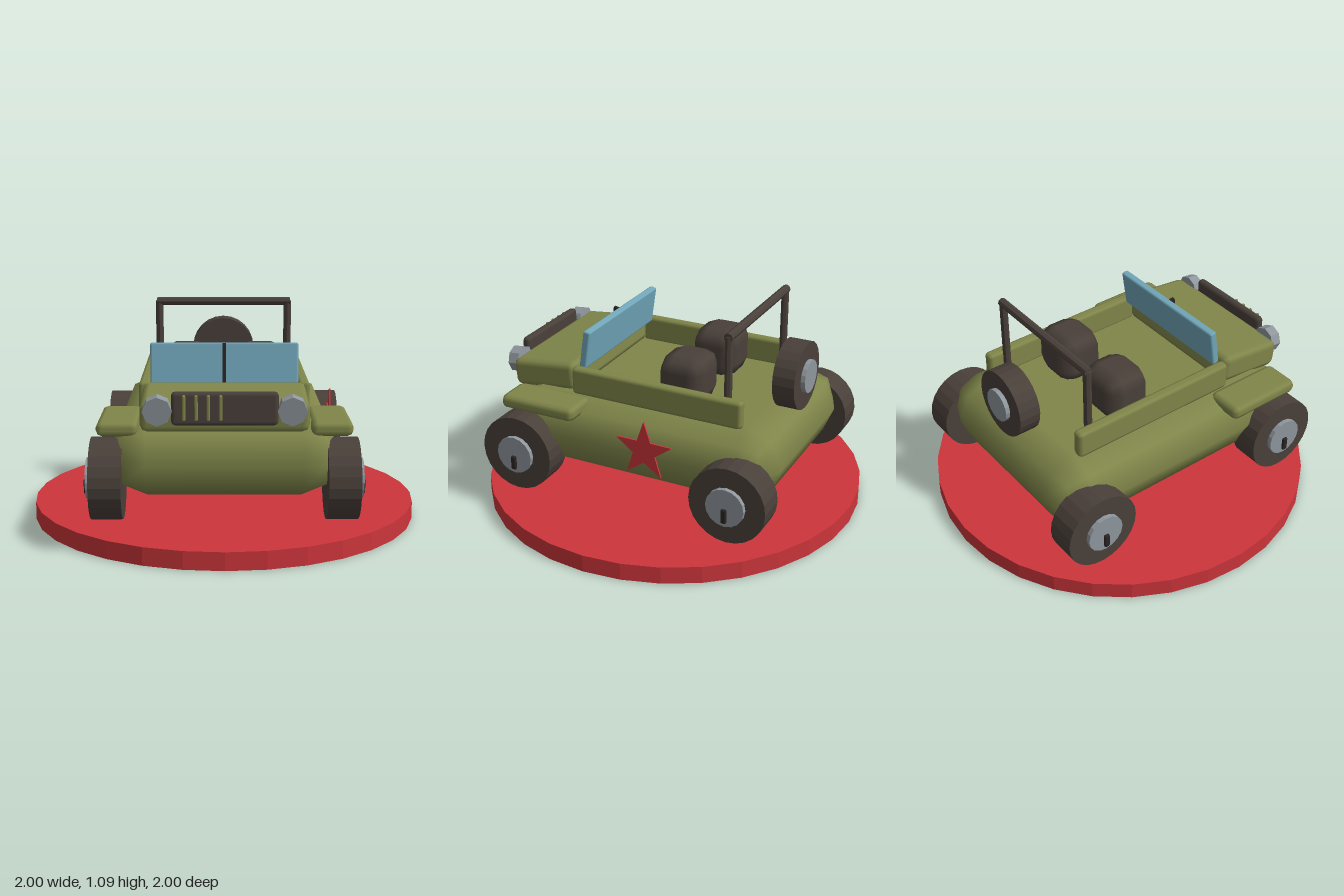
import * as THREE from 'three';
import { RoundedBoxGeometry } from 'three/addons/geometries/RoundedBoxGeometry.js';

const material = (name, color) => {
  const m = new THREE.MeshStandardMaterial({ color });
  m.name = name;
  return m;
};

export function createModel() {
  const olive = material('olive paint', 0x80864a);
  const red = material('red', 0xcc353b);
  const rubber = material('dark brown', 0x4a403a);
  const steel = material('steel grey', 0x8f979d);
  const glass = material('blue glass', 0x72a8bb);
  const black = material('near black', 0x2a2523);

  const model = new THREE.Group();
  model.name = 'jeepOnBase';

  const add = (name, geometry, mat, x, y, z, parent = model) => {
    const mesh = new THREE.Mesh(geometry, mat);
    mesh.name = name;
    mesh.position.set(x, y, z);
    parent.add(mesh);
    return mesh;
  };
  // chamfer-like rounded block
  const block = (w, h, d, r) => new RoundedBoxGeometry(w, h, d, 1, r);
  // faceted cylinder along the given axis
  const drum = (r, length, sides, axis = 'y') => {
    const g = new THREE.CylinderGeometry(r, r, length, sides);
    if (axis === 'x') g.rotateZ(-Math.PI / 2);
    if (axis === 'z') g.rotateX(Math.PI / 2);
    const flat = g.toNonIndexed();
    flat.computeVertexNormals();
    return flat;
  };

  // round display base
  add('base', drum(1, 0.09, 32), red, 0, 0.045, 0);

  // main hull and hood
  add('body', block(1.13, 0.39, 1.52, 0.19), olive, 0, 0.435, 0);
  add('hood', block(0.8, 0.15, 0.37, 0.035), olive, 0, 0.677, 0.562).rotation.x = 0.11;

  // parts mirrored on both sides
  for (const s of [1, -1]) {
    const side = s > 0 ? 'left' : 'right';
    add(side + 'Rail', block(0.06, 0.145, 0.94, 0.02), olive, s * 0.395, 0.692, -0.09);
    add(side + 'Fender', block(0.2, 0.073, 0.42, 0.03), olive, s * 0.512, 0.59, 0.482);
    add(side + 'Seat', block(0.275, 0.26, 0.25, 0.08), rubber, s * 0.198, 0.747, -0.175);
    add(side + 'Headlight', drum(0.07, 0.06, 8, 'z'), steel, s * 0.315, 0.7, 0.757).rotation.x = 0.1;
    add(side + 'RollBarPost', drum(0.021, 0.45, 8), rubber, s * 0.357, 0.845, -0.462);

    for (const z of [0.59, -0.59]) {
      const wheel = new THREE.Group();
      wheel.name = side + (z > 0 ? 'Front' : 'Rear') + 'Wheel';
      wheel.position.set(s * 0.567, 0.33, z);
      model.add(wheel);
      add('tyre', drum(0.2, 0.155, 24, 'x'), rubber, 0, 0, 0, wheel);
      add('hub', drum(0.1, 0.03, 16, 'x'), steel, s * 0.086, 0, 0, wheel);
      add('hubLug', block(0.02, 0.076, 0.03, 0.009), black, s * 0.106, -0.04, 0, wheel);
    }
  }

  // roll bar top
  add('rollBarTop', drum(0.023, 0.74, 8, 'x'), rubber, 0, 1.067, -0.462);

  // windscreen leaning back, with a centre strut in front
  const windscreen = new THREE.Group();
  windscreen.name = 'windscreen';
  windscreen.position.set(0, 0.85, 0.335);
  windscreen.rotation.x = -0.15;
  model.add(windscreen);
  add('pane', block(0.735, 0.205, 0.04, 0.01), glass, 0, 0, -0.004, windscreen);
  add('centreStrut', new THREE.BoxGeometry(0.018, 0.2, 0.025), black, 0, 0, 0.026, windscreen);

  // grille with four offset slats
  add('grille', block(0.5, 0.16, 0.045, 0.02), rubber, 0, 0.71, 0.765);
  for (let i = 0; i < 4; i++) {
    add('grilleSlat', block(0.016, 0.12, 0.026, 0.006), olive, -0.19 + i * 0.057, 0.717, 0.792);
  }

  // spare wheel on the tail
  add('spareTyre', drum(0.175, 0.115, 24, 'z'), rubber, 0, 0.775, -0.672);
  add('spareHub', drum(0.085, 0.025, 16, 'z'), steel, 0, 0.775, -0.74);

  // five-pointed star standing against one flank
  const star = new THREE.Shape();
  for (let i = 0; i < 10; i++) {
    const r = i % 2 ? 0.063 : 0.16;
    const a = Math.PI / 2 + (i * Math.PI) / 5;
    star[i ? 'lineTo' : 'moveTo'](r * Math.cos(a), r * Math.sin(a));
  }
  star.closePath();
  const plate = new THREE.ExtrudeGeometry(star, { depth: 0.009, bevelEnabled: false });
  add('starPlate', plate.rotateY(Math.PI / 2), red, 0.565, 0.476, -0.112);

  return model;
}
